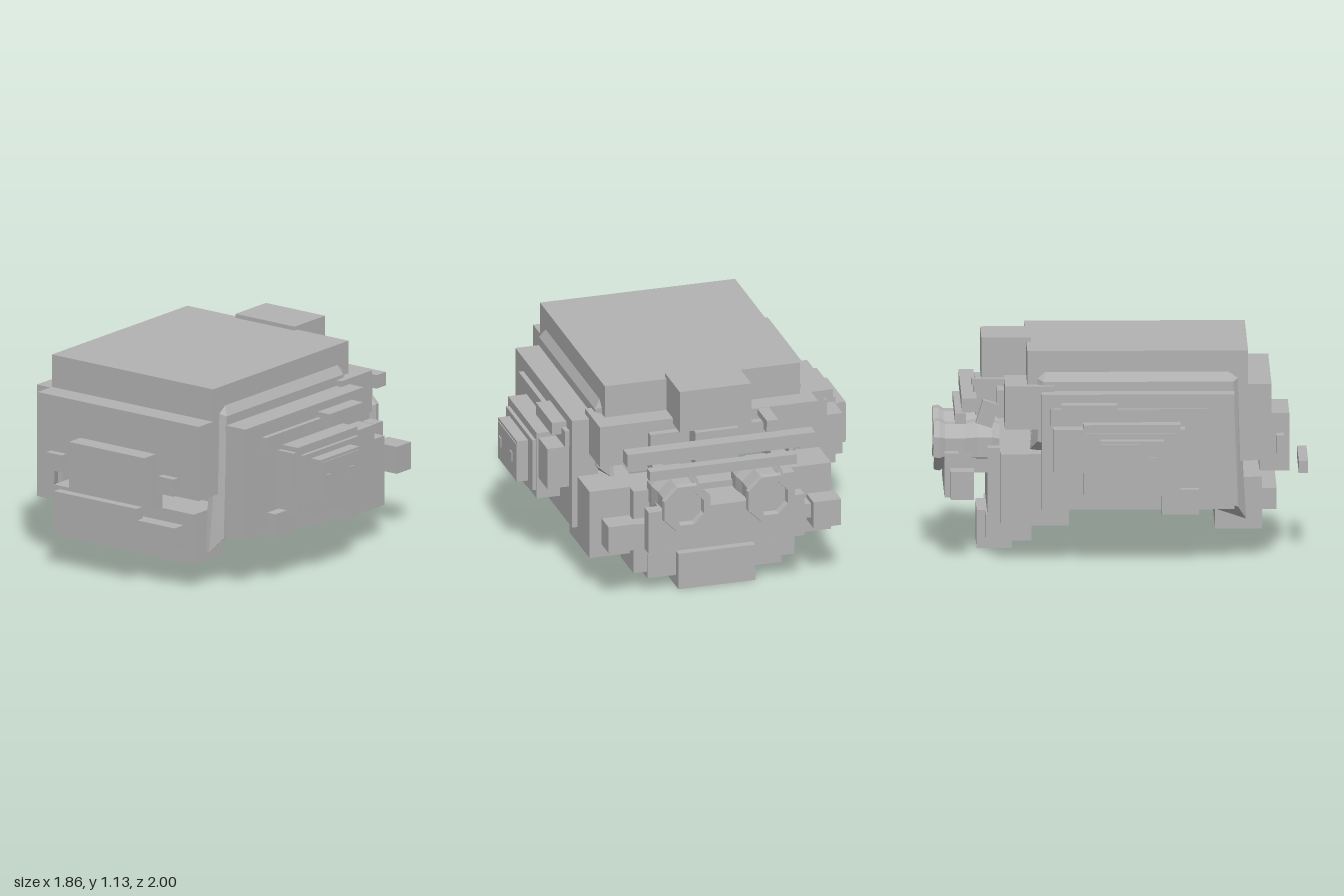
import * as THREE from 'three';
import { ConvexGeometry } from 'three/addons/geometries/ConvexGeometry.js';

export function createModel() {
  const model = new THREE.Group();
  const grey = new THREE.MeshStandardMaterial({ color: 0xb2b2b2 });
  grey.name = 'plain grey';

  const add = (name, geometry, parent = model) => {
    const mesh = new THREE.Mesh(geometry, grey);
    mesh.name = name;
    parent.add(mesh);
    return mesh;
  };
  // Box given by its limits on each axis
  const box = (name, x0, x1, y0, y1, z0, z1) => {
    const mesh = add(name, new THREE.BoxGeometry(x1 - x0, y1 - y0, z1 - z0));
    mesh.position.set((x0 + x1) / 2, (y0 + y1) / 2, (z0 + z1) / 2);
    return mesh;
  };
  const centred = (name, x, ...r) => box(name, -x, x, ...r);
  const pair = (name, x0, x1, ...r) => {
    box(name + 'Left', x0, x1, ...r);
    box(name + 'Right', -x1, -x0, ...r);
  };

  // Roof and front armour
  centred('roofSlab', 0.545, 0.93, 1.113, -0.505, 0.675);
  centred('frontPlate', 0.545, 0.52, 0.933, 0.6, 0.8);
  centred('frontConsole', 0.255, 0.42, 0.73, 0.74, 0.9);
  pair('frontStud', 0.325, 0.43, 0.54, 0.635, 0.83, 0.87);
  centred('frontBar', 0.28, 0.41, 0.475, 0.95, 1.0);
  centred('lowerFrontBlock', 0.473, 0.14, 0.42, 0.5, 0.75);
  centred('lowerFrontStrip', 0.405, 0.235, 0.35, 0.74, 0.83);

  // Bevelled inner side walls, with a rising lower edge
  const innerEdge = [[0.57, 1.0], [0.62, 0.965], [0.665, 0.2], [-0.49, 0.58], [-0.45, 0.965], [-0.41, 1.0]];
  const outerEdge = [[0.595, 0.95], [0.62, 0.275], [-0.45, 0.63], [-0.42, 0.95]];
  for (const s of [1, -1]) {
    const points = [
      ...innerEdge.map(([z, y]) => new THREE.Vector3(s * (y > 0.9 ? 0.545 : 0.51), y, z)),
      ...innerEdge.map(([z, y]) => new THREE.Vector3(s * 0.49, y, z)),
      ...outerEdge.map(([z, y]) => new THREE.Vector3(s * 0.575, y, z)),
    ];
    add(s > 0 ? 'sideWallLeft' : 'sideWallRight', new ConvexGeometry(points));
  }

  // Stacked side panels
  pair('sidePanel', 0.56, 0.705, 0.28, 0.9, -0.43, 0.6);
  pair('sideStrip', 0.7, 0.732, 0.735, 0.825, -0.385, 0.455);
  pair('sideUpperBlock', 0.705, 0.785, 0.785, 0.855, -0.325, -0.03);
  pair('sideLowerBlock', 0.62, 0.76, 0.26, 0.395, 0.21, 0.41);
  pair('sideFin', 0.7, 0.825, 0.495, 0.728, -0.37, -0.2);
  pair('sideFrontFin', 0.7, 0.825, 0.495, 0.728, 0.28, 0.335);
  pair('sideMount', 0.7, 0.835, 0.375, 0.755, -0.21, 0.31);
  pair('sideFrame', 0.8, 0.855, 0.42, 0.71, -0.195, 0.285);
  pair('sideHatch', 0.85, 0.918, 0.445, 0.68, -0.12, 0.22);
  pair('sideHatchFace', 0.915, 0.923, 0.455, 0.665, -0.115, 0.21);
  for (const z of [-0.057, 0.14]) pair('sideSlot', 0.92, 0.93, 0.54, 0.592, z, z + 0.037);

  // Upper rear: shoulder box, hatch and stepped bars
  centred('rearUpperBox', 0.61, 0.7, 0.932, -0.625, -0.36);
  centred('rearTopBlock', 0.2, 0.9, 1.135, -0.745, -0.48);
  centred('rearNeck', 0.34, 0.72, 0.87, -0.665, -0.6);
  centred('rearCentreBlock', 0.12, 0.7, 0.9, -0.775, -0.6);
  box('rearSmallBlock', -0.335, -0.27, 0.895, 0.93, -0.8, -0.6);
  box('rearSmallStud', -0.335, -0.27, 0.86, 0.9, -0.79, -0.74);
  centred('rearLongBar', 0.525, 0.78, 0.855, -0.855, -0.775);
  centred('rearShortBar', 0.41, 0.7, 0.755, -0.888, -0.83);
  pair('rearTiltedStrut', 0.3, 0.36, 0.68, 0.81, -0.76, -0.67);
  for (const s of ['Left', 'Right']) model.getObjectByName('rearTiltedStrut' + s).rotation.x = 0.3;

  // Lower rear: corner boxes, stepped block and foot
  pair('rearCornerBox', 0.4, 0.675, 0.19, 0.575, -0.65, -0.285);
  centred('rearLowerBlock', 0.45, 0.1, 0.575, -0.715, -0.48);
  centred('rearLowerStep', 0.375, 0.065, 0.205, -0.725, -0.48);
  centred('rearFoot', 0.215, 0, 0.205, -0.77, -0.58);
  centred('rearThrusterPlate', 0.435, 0.305, 0.545, -0.945, -0.87);
  centred('rearPlateSupport', 0.36, 0.43, 0.54, -0.88, -0.7);
  pair('rearPod', 0.495, 0.65, 0.325, 0.475, -0.915, -0.79);
  pair('rearPodArm', 0.4, 0.51, 0.37, 0.45, -0.87, -0.79);

  // Eight-sided thrusters: closed shell with a recessed mouth
  const profile = [
    [0, 0], [0.12, 0], [0.142, 0.04], [0.142, 0.12], [0.125, 0.19], [0.125, 0.29],
    [0.145, 0.32], [0.14, 0.35], [0.1, 0.35], [0.095, 0.31], [0, 0.31],
  ].map(([r, h]) => new THREE.Vector2(r, h));
  const thruster = new THREE.LatheGeometry(profile, 8, Math.PI / 8).toNonIndexed();
  thruster.computeVertexNormals();
  for (const s of [1, -1]) {
    const mesh = add(s > 0 ? 'thrusterLeft' : 'thrusterRight', thruster);
    mesh.rotation.x = -Math.PI / 2;
    mesh.position.set(s * 0.235, 0.565, -0.65);
  }

  return model;
}
